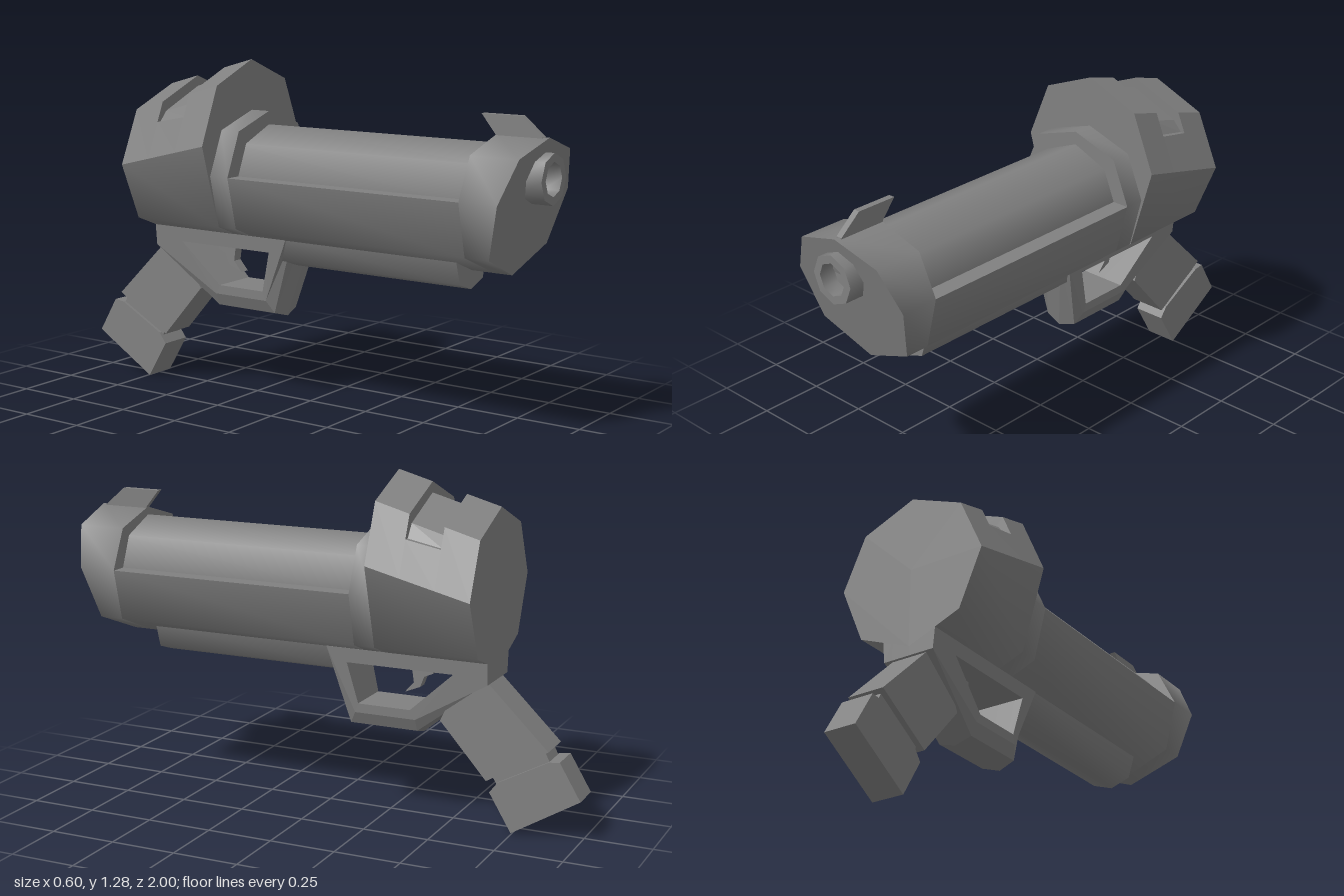
import * as THREE from 'three';
import { toCreasedNormals } from 'three/addons/utils/BufferGeometryUtils.js';

const color = 0x808080;
const material = new THREE.MeshStandardMaterial({ color });
const flatMaterial = new THREE.MeshStandardMaterial({ color, flatShading: true });

// Mirrors a half profile that runs from bottom centre, round +x, to top centre.
function mirrorProfile(half) {
  const left = half.filter(([x]) => x > 0).reverse().map(([x, y]) => [-x, y]);
  return [...half, ...left];
}

// Joins mirrored cross-sections, ordered back to front, into a closed solid.
// Each section is { half, z }, where z is a number or a function of y.
function loft(sections) {
  const rings = sections.map(({ half, z }) => mirrorProfile(half).map(([x, y]) =>
    new THREE.Vector3(x, y, typeof z === 'function' ? z(y) : z)));
  const points = [];
  for (let s = 0; s < rings.length - 1; s++) {
    const a = rings[s], b = rings[s + 1];
    for (let i = 0; i < a.length; i++) {
      const j = (i + 1) % a.length;
      points.push(a[i], a[j], b[j], a[i], b[j], b[i]);
    }
  }
  const cap = (ring, front) => {
    const flat = ring.map((p) => new THREE.Vector2(p.x, p.y));
    for (const [i, j, k] of THREE.ShapeUtils.triangulateShape(flat, [])) {
      points.push(ring[i], ring[front ? j : k], ring[front ? k : j]);
    }
  };
  cap(rings[0], false);
  cap(rings[rings.length - 1], true);
  const geometry = new THREE.BufferGeometry().setFromPoints(points);
  return toCreasedNormals(geometry, 1);
}

// Extrudes a [z, y] outline sideways, centred on x = 0.
function sidePrism(outline, halfWidth, hole, steps = 1) {
  const toPoints = (list) => list.map(([z, y]) => new THREE.Vector2(z, y));
  const shape = new THREE.Shape(toPoints(outline));
  if (hole) shape.holes.push(new THREE.Path(toPoints(hole)));
  const geometry = new THREE.ExtrudeGeometry(shape, { depth: 2 * halfWidth, bevelEnabled: false, steps });
  return geometry.translate(0, 0, -halfWidth).rotateY(-Math.PI / 2);
}

export function createModel() {
  const model = new THREE.Group();
  const add = (name, geometry, mat = material) => {
    const mesh = new THREE.Mesh(geometry, mat);
    mesh.name = name;
    model.add(mesh);
    return mesh;
  };

  // Body: lower trough, slanted front collar and rear collar
  const slant = (y) => 0.85 + (y - 0.585) * 0.27;
  const lower = [[0, 0.585], [0.207, 0.67], [0.255, 0.865]];
  const trough = [...lower, [0, 0.865]];
  const collar = [...lower, [0.183, 1.015], [0, 1.07]];
  const rearCollar = [...lower, [0.185, 1.03], [0, 1.09]];
  add('lowerBody', loft([{ half: trough, z: -0.19 }, { half: trough, z: 0.78 }]));
  add('frontCollar', loft([{ half: collar, z: 0.78 }, { half: collar, z: slant }]));
  add('rearCollar', loft([{ half: rearCollar, z: -0.272 }, { half: rearCollar, z: -0.19 }]));

  // Inner barrel lying in the trough
  const barrel = new THREE.CylinderGeometry(0.2, 0.2, 1.1, 8, 1).rotateX(Math.PI / 2);
  add('barrel', barrel.translate(0, 0.84, 0.28));

  // Muzzle ring with a recessed bore
  const ring = [[0, 0.94], [0.06, 0.94], [0.06, 1], [0.09, 1], [0.09, 0.88]]
    .map(([r, z]) => new THREE.Vector2(r, z)).reverse();
  const muzzle = new THREE.LatheGeometry(ring, 8).rotateX(Math.PI / 2).translate(0, 0.93, 0);
  add('muzzle', toCreasedNormals(muzzle, 0.9));

  // Front sight fin
  add('frontSight', sidePrism([[0.96, 1.05], [0.96, 1.07], [0.88, 1.138], [0.725, 1.138], [0.78, 1.07], [0.78, 1.05]], 0.012));

  // Rear hood: smooth lower shell, faceted top sloping to the back with a groove across it
  const hoodDrop = (z) => (-0.27 - z) * 0.28;
  const hoodSide = (z) => 0.98 - hoodDrop(z) * 0.88;
  const shellHalf = (z) => [[0, 0.585], [0.21, 0.67], [0.3, hoodSide(z)], [0, hoodSide(z)]];
  const topHalf = (z) => [[0, hoodSide(z)], [0.3, hoodSide(z)],
    [0.21, 1.195 - hoodDrop(z)], [0, 1.28 - hoodDrop(z)]];
  const grooveHalf = (z) => {
    const [middle, side, shoulder, top] = topHalf(z);
    const floorY = 1.075 + (z + 0.4) * 0.2;
    const t = (floorY - side[1]) / (shoulder[1] - side[1]);
    return [middle, side, [side[0] + t * (shoulder[0] - side[0]), floorY],
      [0.225, floorY], [0.19, shoulder[1] - 0.035], [0, top[1] - 0.04]];
  };
  const hood = new THREE.Group();
  hood.name = 'rearHood';
  model.add(hood);
  for (const [name, back, front, half, mat] of [
    ['hoodShell', -0.66, -0.27, shellHalf, material],
    ['hoodTopFront', -0.4, -0.27, topHalf, flatMaterial],
    ['hoodGroove', -0.53, -0.4, grooveHalf, flatMaterial],
    ['hoodTopBack', -0.66, -0.53, topHalf, flatMaterial],
  ]) {
    hood.add(add(name, loft([back, front].map((z) => ({ half: half(z), z }))), mat));
  }

  // Rail under the barrel
  const rail = [[0, 0.517], [0.08, 0.545], [0.11, 0.64], [0, 0.66]];
  add('underRail', loft([{ half: rail, z: -0.1 }, { half: rail, z: 0.69 }]));

  // Trigger frame with a window; the guard's outer rim is chamfered towards the sides
  const frame = sidePrism(
    [[-0.035, 0.63], [-0.105, 0.318], [-0.38, 0.318], [-0.66, 0.55], [-0.66, 0.63]], 1,
    [[-0.53, 0.575], [-0.36, 0.42], [-0.155, 0.42], [-0.115, 0.575]], 4);
  const p = frame.attributes.position;
  for (let i = 0; i < p.count; i++) {
    const layer = Math.round(Math.abs(p.getX(i)) * 2);
    const y = p.getY(i), z = p.getZ(i);
    const inset = [0, 0.02, 0.067][layer];
    const width = [0, 0.068, 0.09 + Math.max(0, y - 0.4) * 0.09][layer];
    p.setX(i, Math.sign(p.getX(i)) * width);
    if (y < 0.35) {
      p.setY(i, y + inset);
      if (z > -0.2) p.setZ(i, z - inset * 0.55);
    }
  }
  add('triggerFrame', frame, flatMaterial);

  // Trigger
  add('trigger', sidePrism([[-0.33, 0.585], [-0.34, 0.54], [-0.345, 0.505], [-0.31, 0.465],
    [-0.37, 0.49], [-0.385, 0.53], [-0.42, 0.545], [-0.42, 0.585]], 0.02));

  // Grip, neck and foot
  add('grip', sidePrism([[-0.47, 0.39], [-0.65, 0.186], [-0.88, 0.325], [-0.64, 0.56], [-0.6, 0.62], [-0.56, 0.58]], 0.072));
  add('gripNeck', sidePrism([[-0.66, 0.21], [-0.69, 0.16], [-0.885, 0.27], [-0.855, 0.33]], 0.05));
  add('gripFoot', sidePrism([[-0.66, 0.142], [-0.745, 0], [-1, 0.155], [-0.92, 0.29], [-0.88, 0.285], [-0.69, 0.182]], 0.063));

  return model;
}
